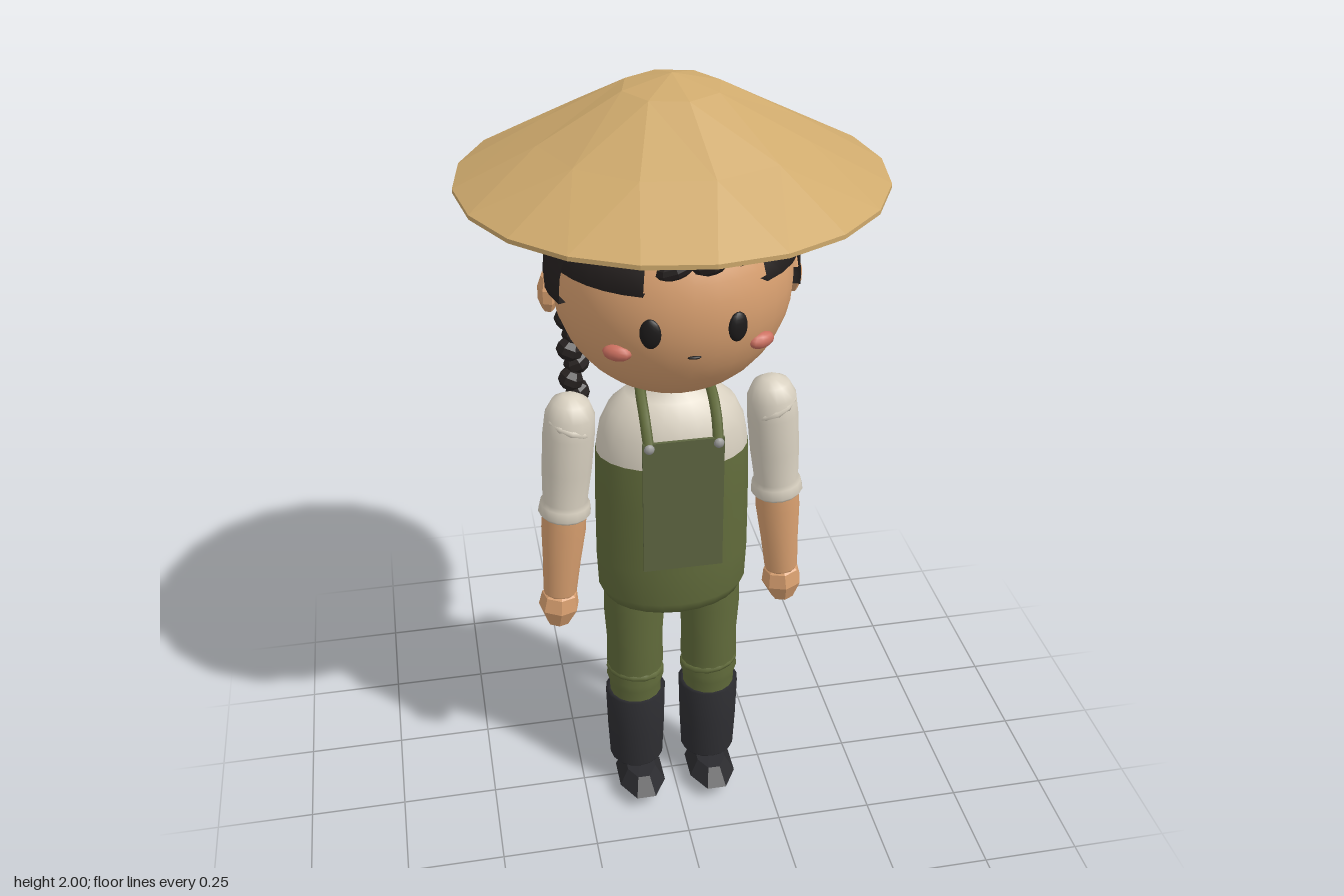
import * as THREE from 'three';

const paint = (color, flat = false) => new THREE.MeshStandardMaterial({ color, flatShading: flat, side: THREE.DoubleSide });
const SKIN = paint(0xd9a070), SKIN_FLAT = paint(0xd9a070, true), HAIR = paint(0x262120), HAIR_FLAT = paint(0x262120, true);
const STRAW = paint(0xcfaa6d, true), BAND = paint(0xb0834c, true), SEAM = paint(0x4a3420);
const GREEN = paint(0x616b3b), BIB = paint(0x5d6540), SHIRT = paint(0xd8d0c0), BOOT = paint(0x2e2e32), SOLE = paint(0x2a2a2e, true);
const CHEEK = paint(0xcc7060), DARK = paint(0x1c1a1a), METAL = paint(0x9a9a98);

export function createModel() {
  const model = new THREE.Group();

  function add(name, geo, mat, pos = [0, 0, 0], scale = [1, 1, 1], parent = model) {
    const m = new THREE.Mesh(geo, mat);
    m.name = name;
    m.position.set(...pos);
    m.scale.set(...scale);
    parent.add(m);
    return m;
  }
  const lathe = (pts, n = 16, start = 0, len = Math.PI * 2) =>
    new THREE.LatheGeometry(pts.map(p => new THREE.Vector2(...p)), n, start, len);
  const ball = (w = 16, h = 10) => new THREE.SphereGeometry(1, w, h);
  const path = pts => new THREE.CatmullRomCurve3(pts.map(p => new THREE.Vector3(...p)));

  // Stacked rings with differing corner counts, stitched by triangles; ring = [radius, y, corners, turn]
  function stitchedRings(rings) {
    const pos = [];
    const put = ([r, y, n, turn], i) => {
      const a = (i / n) * Math.PI * 2 + turn;
      pos.push(r * Math.sin(a), y, r * Math.cos(a));
    };
    for (let k = 0; k + 1 < rings.length; k++) {
      const lo = rings[k], hi = rings[k + 1];
      let i = 0, j = 0;
      while (i < lo[2] || j < hi[2]) {
        put(lo, i);
        if (j >= hi[2] || (i < lo[2] && (i + 1) / lo[2] <= (j + 1) / hi[2])) {
          put(lo, ++i);
          put(hi, j);
        } else {
          put(hi, j + 1);
          put(hi, j++);
        }
      }
    }
    const g = new THREE.BufferGeometry();
    g.setAttribute('position', new THREE.Float32BufferAttribute(pos, 3));
    g.computeVertexNormals();
    return g;
  }

  // Straw hat with inner band
  add('hatBrim', stitchedRings([[0.48, 1.765, 20, 0], [0.48, 1.775, 20, 0], [0.3, 1.872, 12, 0.12],
    [0.112, 1.972, 8, 0.15], [0, 2, 8, 0.15]]), STRAW);
  add('hatBand', new THREE.CylinderGeometry(0.268, 0.268, 0.08, 12, 1, true), BAND, [0, 1.76, 0]);
  for (let i = 0; i < 12; i++) {
    const a = (i / 12) * Math.PI * 2;
    add('hatBandSeam', new THREE.BoxGeometry(0.008, 0.08, 0.008), SEAM,
      [0.268 * Math.sin(a), 1.76, 0.268 * Math.cos(a)]).rotation.y = a;
  }

  // Head
  const headY = 1.54;
  add('head', ball(32, 20), SKIN, [0, headY, 0], [0.278, 0.28, 0.275]);

  // Hair cap: sections of shell, each with its own lower edge; angle 0 is the front, positive to +x
  const hairR = 0.295;
  function hairSection(from, to, bottom) {
    const pts = [], t0 = Math.asin((bottom - headY) / hairR);
    pts.push([0.27 * Math.cos(t0), bottom - headY]);
    for (let i = 0; i <= 8; i++) {
      const t = t0 + (Math.PI / 2 - t0) * (i / 8);
      pts.push([hairR * Math.cos(t), hairR * Math.sin(t)]);
    }
    const rad = Math.PI / 180;
    add('hairCap', lathe(pts, Math.ceil((to - from) / 11), from * rad, (to - from) * rad), HAIR, [0, headY, 0]);
  }
  hairSection(-68, -23, 1.61);
  hairSection(-23, 35, 1.69);
  hairSection(35, 68, 1.61);
  hairSection(68, 134, 1.535);
  hairSection(134, 230, 1.455);
  hairSection(230, 292, 1.535);

  // Swept lock over the forehead
  const lock = path([[-0.04, 1.665, 0.255], [0.06, 1.68, 0.255], [0.15, 1.705, 0.225], [0.22, 1.74, 0.17]]);
  for (let i = 0; i < 5; i++) {
    const p = lock.getPoint(i / 4);
    add('sweptLock', ball(8, 6), HAIR_FLAT, p.toArray(), [0.045, 0.022 + 0.006 * i, 0.025]).rotation.z = 0.3;
  }

  // Braid hanging behind the model's right shoulder
  for (let i = 0; i < 7; i++) {
    const side = i % 2 ? 1 : -1;
    add('braidKnot', ball(7, 5), HAIR_FLAT, [-0.225 + side * 0.008, 1.405 - i * 0.04, -0.075 - side * 0.004],
      [0.036 - i * 0.001, 0.029, 0.032]).rotation.z = side * 0.4;
  }
  add('braidTip', new THREE.ConeGeometry(0.025, 0.06, 6), HAIR_FLAT, [-0.225, 1.115, -0.08]).rotation.x = Math.PI;

  // Face
  add('mouth', ball(8, 6), DARK, [0, 1.456, 0.263], [0.016, 0.004, 0.006]);
  for (const s of [-1, 1]) {
    add('eye', ball(12, 10), DARK, [s * 0.096, 1.52, 0.259], [0.024, 0.035, 0.012]).rotation.y = s * 0.35;
    add('cheek', ball(10, 8), CHEEK, [s * 0.162, 1.457, 0.212], [0.034, 0.019, 0.018]).rotation.y = s * 0.5;
    add('ear', ball(7, 5), SKIN_FLAT, [s * 0.285, 1.51, -0.01], [0.024, 0.05, 0.043]);
  }

  // Torso: shirt above, overalls below
  const flat = [1, 1, 0.7];
  add('shirt', lathe([[0.188, 1.07], [0.187, 1.1], [0.178, 1.15], [0.155, 1.2], [0.115, 1.235],
    [0.075, 1.25], [0.07, 1.28]], 24), SHIRT, [0, 0, 0], flat);
  add('overalls', lathe([[0, 0.64], [0.14, 0.64], [0.175, 0.65], [0.19, 0.68], [0.194, 0.78], [0.193, 0.95],
    [0.19, 1.08], [0.18, 1.08]], 24), GREEN, [0, 0, 0], flat);

  // Bib, neck straps and tie ends
  add('bib', new THREE.BoxGeometry(0.196, 0.365, 0.008), BIB, [0, 0.993, 0.148]);
  for (const s of [-1, 1]) {
    add('strap', new THREE.TubeGeometry(path([[s * 0.083, 1.165, 0.15], [s * 0.085, 1.22, 0.11],
      [s * 0.083, 1.26, 0.04], [s * 0.07, 1.265, -0.03], [0, 1.262, -0.07]]), 16, 0.013, 6), GREEN);
    add('strapButton', ball(8, 6), METAL, [s * 0.083, 1.165, 0.157], [0.013, 0.013, 0.01]);
    const tie = add('tieEnd', new THREE.ConeGeometry(0.016, 0.055, 4), BIB, [s * 0.055 - 0.01, 0.905, -0.137], [1, 1, 0.6]);
    tie.rotation.set(0.2, 0, s * 0.2);
  }

  // Limbs, mirrored
  for (const s of [-1, 1]) {
    const arm = new THREE.Group();
    arm.name = s > 0 ? 'leftArm' : 'rightArm';
    arm.position.set(s * 0.243, 1.24, 0);
    arm.rotation.z = s * 0.085;
    model.add(arm);
    add('sleeve', lathe([[0.05, -0.315], [0.058, -0.335], [0.066, -0.325], [0.062, -0.3], [0.056, -0.29], [0.062, -0.2],
      [0.064, -0.1], [0.061, -0.05], [0.045, -0.015], [0.02, 0], [0, 0.001]], 16), SHIRT, [0, 0, 0], [1, 1, 0.97], arm);
    add('sleeveFold', new THREE.TorusGeometry(0.055, 0.01, 6, 12), SHIRT, [0, -0.075, 0], [1, 1, 1], arm)
      .rotation.set(Math.PI / 2, s * 0.35, 0);
    add('forearm', lathe([[0, -0.585], [0.038, -0.58], [0.043, -0.57], [0.048, -0.48], [0.056, -0.38], [0.055, -0.3]], 14),
      SKIN, [0, 0, 0], [1, 1, 0.9], arm);
    add('hand', lathe([[0, -0.675], [0.03, -0.67], [0.053, -0.62], [0.046, -0.58], [0.03, -0.565], [0, -0.565]], 7),
      SKIN_FLAT, [0.0, 0, 0], [1, 1, 0.92], arm);

    const leg = new THREE.Group();
    leg.name = s > 0 ? 'leftLeg' : 'rightLeg';
    leg.position.set(s * 0.1, 0, 0);
    model.add(leg);
    add('trouserLeg', lathe([[0.068, 0.3], [0.07, 0.35], [0.077, 0.375], [0.07, 0.395], [0.076, 0.42], [0.074, 0.5],
      [0.08, 0.6], [0.078, 0.68]], 16), GREEN, [0, 0, 0], [1, 1, 1], leg);
    add('kneeFold', new THREE.TorusGeometry(0.067, 0.011, 6, 14), GREEN, [0, 0.39, 0], [1, 1, 1], leg)
      .rotation.set(Math.PI / 2 - 0.15, s * 0.12, 0);
    add('bootShaft', lathe([[0, 0.08], [0.066, 0.08], [0.073, 0.09], [0.078, 0.2], [0.081, 0.318], [0.066, 0.318]], 16),
      BOOT, [0, 0, 0], [1, 1, 0.97], leg);
    add('shoe', lathe([[0, 0], [0.6, 0], [1, 0.042], [0.62, 0.082], [0, 0.085]], 8, Math.PI / 8),
      SOLE, [-s * 0.002, 0, 0.045], [0.067, 1, 0.112], leg);
  }
  return model;
}
